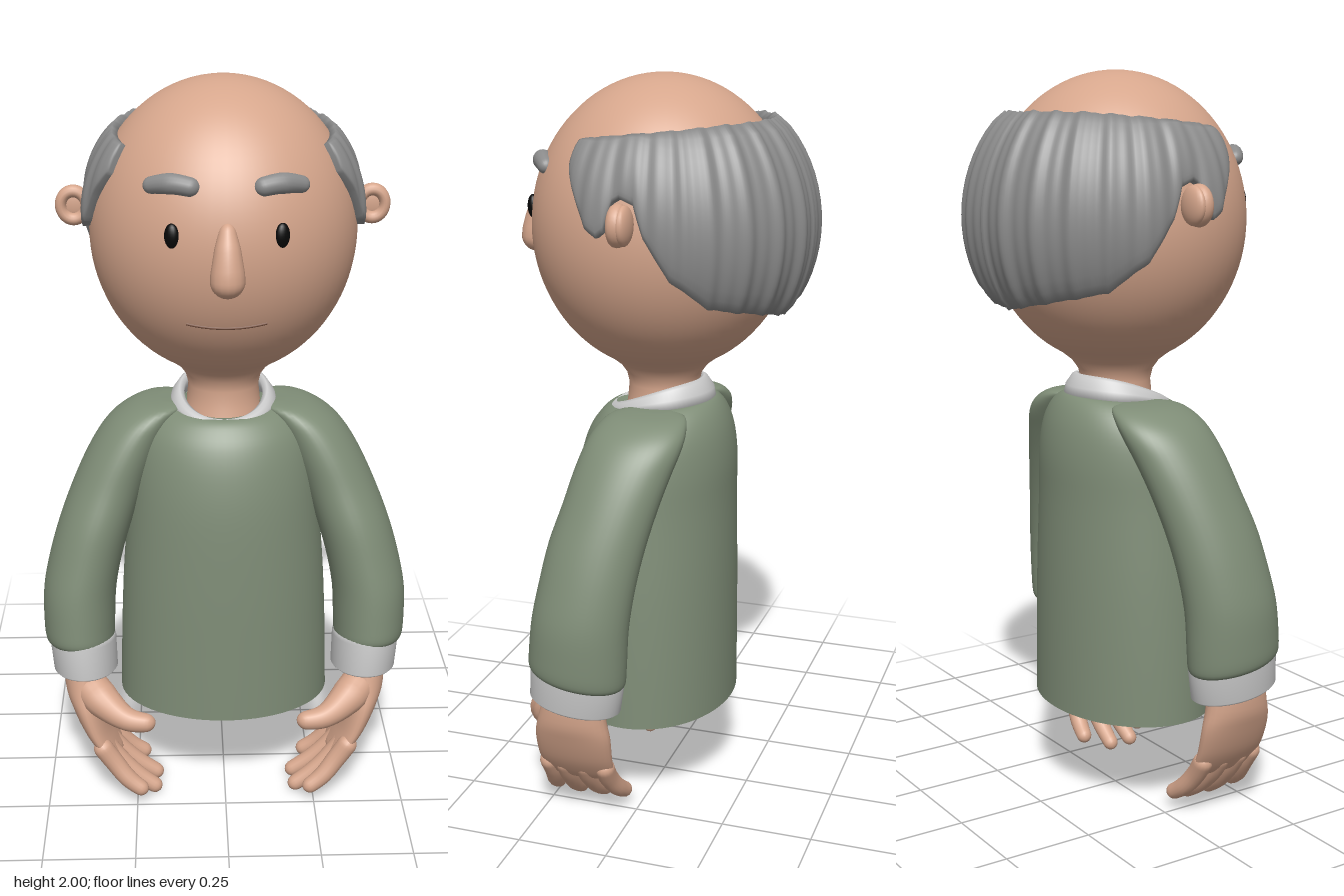
import * as THREE from 'three';

const mat = (color, side = THREE.FrontSide) => new THREE.MeshStandardMaterial({ color, side });
const SKIN = mat(0xd6a68c), WOOL = mat(0x7f8d77, THREE.DoubleSide), HAIR = mat(0x8c8c8c);
const CLOTH = mat(0xcccccc), BLACK = mat(0x080808), LINE = mat(0x7a5341);
const V = (x, y, z) => new THREE.Vector3(x, y, z);

function mesh(name, geometry, material) {
  const m = new THREE.Mesh(geometry, material);
  m.name = name;
  return m;
}

// Piecewise linear lookup in [[x, value], ...]
function lookup(table, x) {
  let i = 1;
  while (i < table.length - 1 && x > table[i][0]) i++;
  const [a, va] = table[i - 1], [b, vb] = table[i];
  return va + (vb - va) * THREE.MathUtils.clamp((x - a) / (b - a), 0, 1);
}

// Surface through a list of closed rings with equal point counts
function skinRings(rings, capStart, capEnd) {
  const centre = (r) => {
    const c = r.reduce((s, p) => s.add(p), V(0, 0, 0)).divideScalar(r.length);
    return r.map(() => c);
  };
  const all = [...rings];
  if (capStart) all.unshift(centre(rings[0]));
  if (capEnd) all.push(centre(rings[rings.length - 1]));
  const n = rings[0].length, index = [];
  for (let i = 0; i < all.length - 1; i++) {
    for (let j = 0; j < n; j++) {
      const a = i * n + j, b = i * n + (j + 1) % n;
      index.push(a, a + n, b, b, a + n, b + n);
    }
  }
  const g = new THREE.BufferGeometry().setFromPoints(all.flat());
  g.setIndex(index);
  g.computeVertexNormals();
  return g;
}

// Upright form from elliptical sections [y, cx, cz, rx, rz, tilt], bottom to top
function loft(sections, { capStart = true, capEnd = true, steps = 1, n = 40 } = {}) {
  const rings = [], last = sections.length - 1;
  const at = (i) => sections[THREE.MathUtils.clamp(i, 0, last)];
  const cr = (a, b, c, d, t) => b + 0.5 * t * (c - a + t * (2 * a - 5 * b + 4 * c - d + t * (3 * (b - c) + d - a)));
  for (let k = 0; k <= last * steps; k++) {
    const i = Math.floor(k / steps), t = k / steps - i;
    const [y, cx, cz, rx, rz, tilt] = [0, 1, 2, 3, 4, 5].map((q) =>
      cr(at(i - 1)[q] || 0, at(i)[q] || 0, at(i + 1)[q] || 0, at(i + 2)[q] || 0, t));
    rings.push(Array.from({ length: n }, (_, j) => {
      const a = j / n * Math.PI * 2, z = rz * Math.sin(a);
      return V(cx + rx * Math.cos(a), y + tilt * z, cz + z);
    }));
  }
  return skinRings(rings, capStart, capEnd);
}

// Round-ended tube of varying radius
function limb(points, radii, n = 28, sides = 16) {
  const curve = new THREE.CatmullRomCurve3(points.map((p) => V(...p)));
  const len = curve.getLength(), rings = [];
  const table = radii.map((r, i) => [i / (radii.length - 1), r]);
  for (let i = 0; i <= n; i++) {
    const t = (1 - Math.cos(Math.PI * i / n)) / 2;
    const c = curve.getPointAt(t), T = curve.getTangentAt(t);
    const N = V(0, 0, 1).cross(T).normalize(), B = T.clone().cross(N);
    let r = lookup(table, t);
    const d = Math.min(t, 1 - t) * len / r;
    if (d < 1) r *= Math.sqrt(1 - (1 - d) ** 2);
    r = Math.max(r, 0.0005);
    rings.push(Array.from({ length: sides }, (_, j) => {
      const a = j / sides * Math.PI * 2;
      return c.clone().addScaledVector(N, r * Math.cos(a)).addScaledVector(B, -r * Math.sin(a));
    }));
  }
  return skinRings(rings, true, true);
}

// Head is an ellipsoid: radius R, half height H, centre height CY
const R = 0.35, H = 0.39, CY = 1.61;
const headRadius = (y) => R * Math.sqrt(Math.max(0, 1 - ((y - CY) / H) ** 2));

function headGeometry() {
  const pts = [[0.115, 1.08], [0.1, 1.13], [0.095, 1.18], [0.102, 1.21], [0.12, 1.235]];
  for (let i = 0; i <= 40; i++) {
    const a = THREE.MathUtils.degToRad(155 * (1 - i / 40));
    pts.push([R * Math.sin(a), CY + H * Math.cos(a)]);
  }
  return new THREE.LatheGeometry(pts.map((p) => new THREE.Vector2(...p)), 56);
}

// Band of hair round the back; edges given by angle from the side towards the back
function hairGeometry() {
  const low = [[-28, 1.78], [-21, 1.72], [-14, 1.645], [-9, 1.625], [-6, 1.64], [-3, 1.71], [0, 1.72],
    [6, 1.705], [10, 1.63], [20, 1.53], [36, 1.46], [90, 1.405]];
  const high = [[-28, 1.845], [0, 1.86], [45, 1.87], [90, 1.87]];
  const rings = [], n = 16;
  for (let deg = -28; deg <= 208; deg += 1) {
    const a = deg > 90 ? 180 - deg : deg, phi = THREE.MathUtils.degToRad(deg);
    const lo = lookup(low, a), hi = lookup(high, a);
    const back = Math.max(0, Math.sin(phi));
    const ripple = 1 + 0.09 * Math.sin(a * 0.42) + 0.05 * Math.sin(a * 0.9 + 1);
    const thick = (0.027 + 0.03 * back) * ripple * (0.6 + 0.4 * Math.min(1, (a + 28) / 5));
    const ring = [];
    const add = (y, off) => {
      const r = headRadius(y), nrm = new THREE.Vector2(r / (R * R), (y - CY) / (H * H)).normalize();
      const rr = r + off * nrm.x;
      ring.push(V(rr * Math.cos(phi), y + off * nrm.y, -rr * Math.sin(phi)));
    };
    add(lo, -0.015);
    for (let k = 0; k <= n; k++) {
      add(lo + (hi - lo) * k / n, thick * (0.65 + 0.35 * Math.sqrt(Math.sin(Math.PI * Math.min(k / n, 0.9999)))));
    }
    add(hi, -0.015);
    rings.push(ring);
  }
  return skinRings(rings, true, true);
}

// Folded shirt collar, dipping to a V at the front
function collarGeometry() {
  const rings = [], n = 64;
  for (let i = 0; i <= n; i++) {
    const t = 0.03 + (Math.PI * 2 - 0.06) * i / n;
    const f = ((1 + Math.cos(t)) / 2) ** 1.6;
    const top = 1.2 - 0.08 * f, bottom = 1.135 - 0.035 * f, r = 0.102 + 0.028 * f, R2 = 0.142 + 0.014 * f;
    const mid = (top + bottom) / 2;
    rings.push([[R2 - 0.03, bottom], [R2, bottom], [R2 - 0.006, mid], [r + 0.016, top - 0.006],
      [r + 0.006, top], [r - 0.006, top - 0.006], [r - 0.004, mid]]
      .map(([q, y]) => V(q * Math.sin(t), y, q * Math.cos(t))));
  }
  return skinRings(rings, true, true);
}

// Everything on the model's left, mirrored for its right
function sideParts(name) {
  const g = new THREE.Group();
  g.name = name;
  const eye = mesh('eye', new THREE.SphereGeometry(1, 20, 14), BLACK);
  eye.scale.set(0.019, 0.031, 0.014);
  eye.position.set(0.134, 1.66, 0.318);
  eye.rotation.y = 0.4;
  g.add(eye);
  g.add(mesh('eyebrow', limb([[0.066, 1.772, 0.308], [0.135, 1.781, 0.287], [0.2, 1.768, 0.248]],
    [0.023, 0.026, 0.02]), HAIR));

  const ear = new THREE.Group();
  ear.name = 'ear';
  const bowl = mesh('earBack', new THREE.SphereGeometry(1, 24, 16), SKIN);
  bowl.scale.set(0.046, 0.05, 0.02);
  bowl.position.z = -0.016;
  const rim = mesh('earRim', new THREE.TorusGeometry(0.033, 0.015, 14, 32), SKIN);
  rim.scale.set(1, 1.12, 1.3);
  ear.add(bowl, rim);
  ear.position.set(0.39, 1.665, -0.01);
  g.add(ear);

  // Arm
  g.add(mesh('sleeve', loft([
    [0.46, 0.402, 0.11, 0.086, 0.122, 0.15], [0.475, 0.403, 0.11, 0.095, 0.132, 0.15],
    [0.52, 0.404, 0.107, 0.098, 0.133, 0.13], [0.62, 0.4, 0.1, 0.1, 0.131, 0.06], [0.72, 0.38, 0.087, 0.1, 0.13],
    [0.82, 0.35, 0.07, 0.1, 0.13], [0.92, 0.312, 0.045, 0.098, 0.128], [1.0, 0.275, 0.025, 0.096, 0.13],
    [1.06, 0.24, 0.008, 0.092, 0.13], [1.1, 0.205, -0.002, 0.085, 0.122], [1.128, 0.165, -0.008, 0.07, 0.1],
    [1.138, 0.14, -0.01, 0.03, 0.05]], { steps: 4 }), WOOL));
  g.add(mesh('cuff', loft([
    [0.386, 0.39, 0.122, 0.07, 0.1, 0.13], [0.378, 0.39, 0.122, 0.084, 0.118, 0.13],
    [0.384, 0.39, 0.122, 0.089, 0.125, 0.13], [0.47, 0.396, 0.112, 0.092, 0.129, 0.15],
    [0.485, 0.397, 0.112, 0.088, 0.124, 0.15]]), CLOTH));

  // Hand
  g.add(mesh('palm', loft([
    [0.115, 0.306, 0.137, 0.012, 0.07], [0.13, 0.318, 0.137, 0.026, 0.094], [0.16, 0.338, 0.137, 0.032, 0.102],
    [0.21, 0.364, 0.136, 0.038, 0.106], [0.28, 0.386, 0.133, 0.046, 0.106], [0.34, 0.394, 0.13, 0.055, 0.094],
    [0.44, 0.392, 0.122, 0.058, 0.075]], { steps: 4, n: 28 }), SKIN));
  [[0.058, 0.245, 0.036], [0.117, 0.208, 0.01], [0.175, 0.212, 0.008], [0.22, 0.25, 0.034]].forEach(([z, x, y], i) => {
    const tipX = x - 0.028, tipZ = z + (z - 0.138) * 0.25;
    g.add(mesh('finger' + (i + 1), limb([[0.358, 0.19, z], [0.315, 0.125, z],
      [(0.315 + tipX) / 2 + 0.006, (0.125 + y) / 2 - 0.006, (z + tipZ) / 2], [tipX, y, tipZ]],
    [0.028, 0.027, 0.025, 0.021]), SKIN));
  });
  g.add(mesh('thumb', limb([[0.4, 0.36, 0.15], [0.335, 0.315, 0.22], [0.27, 0.29, 0.27], [0.195, 0.283, 0.283]],
    [0.05, 0.05, 0.034, 0.023]), SKIN));
  return g;
}

export function createModel() {
  const model = new THREE.Group();
  model.name = 'figure';
  model.add(mesh('head', headGeometry(), SKIN), mesh('hair', hairGeometry(), HAIR), mesh('collar', collarGeometry(), CLOTH));
  model.add(mesh('nose', limb([[0, 1.695, 0.335], [0, 1.61, 0.358], [0, 1.516, 0.366]],
    [0.016, 0.032, 0.042, 0.045]), SKIN));

  // Mouth line following the face
  const mouth = Array.from({ length: 13 }, (_, i) => {
    const x = -0.1 + i / 60, y = 1.423 + 0.9 * x * x;
    return V(x, y, Math.sqrt(headRadius(y) ** 2 - x * x));
  });
  model.add(mesh('mouth', new THREE.TubeGeometry(new THREE.CatmullRomCurve3(mouth), 32, 0.0035, 8), LINE));

  // Sweater body, open at the hem
  model.add(mesh('sweater', loft([
    [0.27, 0, 0.025, 0.295, 0.226], [0.45, 0, 0.025, 0.29, 0.226], [0.65, 0, 0.025, 0.28, 0.225],
    [0.85, 0, 0.023, 0.263, 0.22], [0.97, 0, 0.014, 0.252, 0.212], [1.05, 0, 0.006, 0.235, 0.195],
    [1.1, 0, 0.0, 0.205, 0.172, -0.03], [1.127, 0, 0, 0.165, 0.15, -0.08], [1.132, 0, 0, 0.13, 0.13, -0.1],
    [1.12, 0, 0, 0.1, 0.1, -0.1]], { capStart: false, capEnd: false, steps: 4, n: 64 }), WOOL));

  const right = sideParts('rightSide');
  right.scale.x = -1;
  model.add(sideParts('leftSide'), right);
  return model;
}
